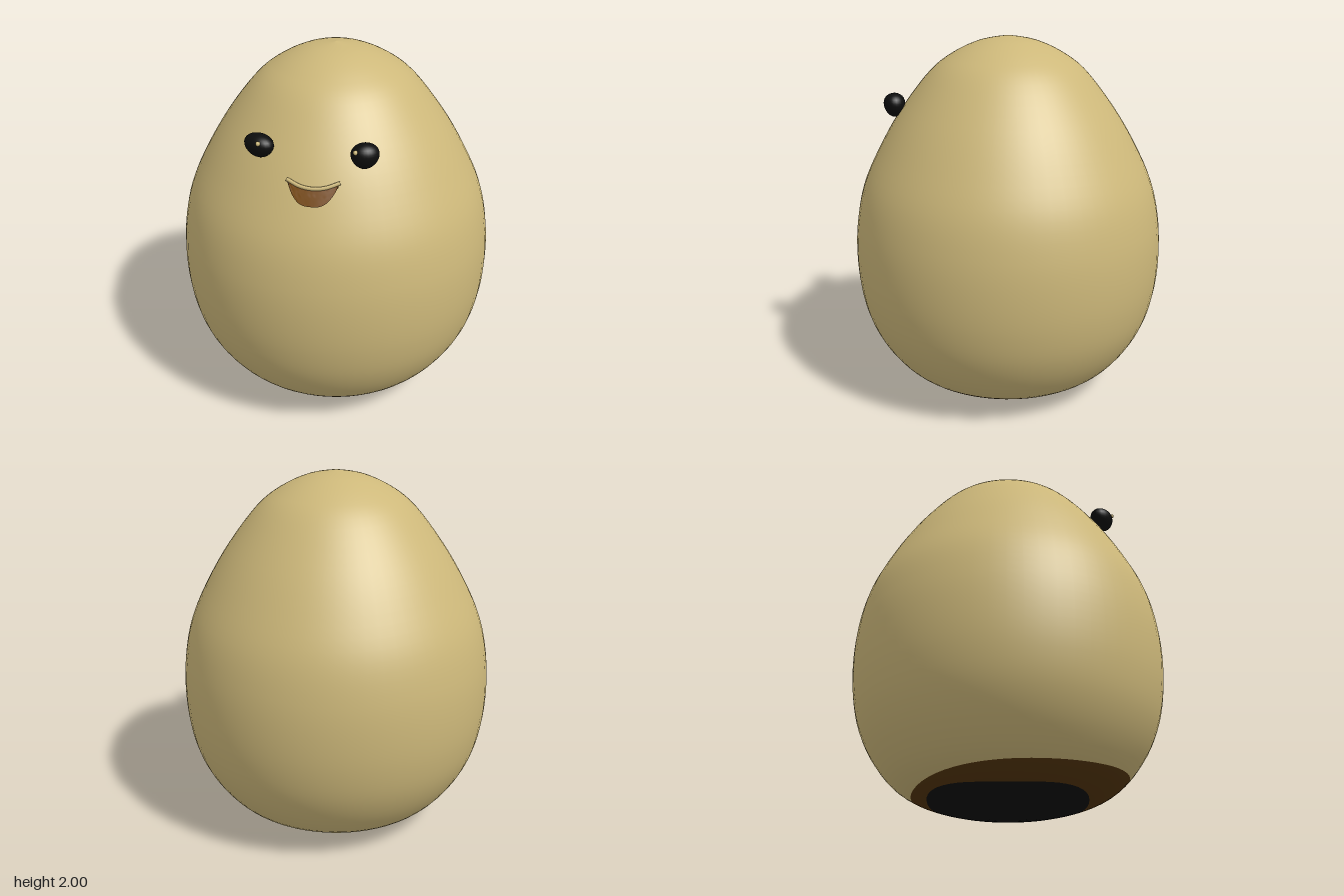
import * as THREE from 'three';
import { ParametricGeometry } from 'three/addons/geometries/ParametricGeometry.js';

const colour = (name, hex) => {
  const m = new THREE.MeshStandardMaterial({ color: hex });
  m.name = name;
  return m;
};

// Egg outline as (radius, height), bottom to top
const profile = new THREE.SplineCurve([
  [0.003, 0], [0.2, 0.008], [0.44, 0.055], [0.6, 0.13], [0.72, 0.26], [0.805, 0.42],
  [0.85, 0.6], [0.864, 0.8], [0.85, 1.0], [0.803, 1.2], [0.71, 1.4], [0.59, 1.6],
  [0.435, 1.8], [0.31, 1.9], [0.16, 1.97], [0.003, 2]
].map(([r, y]) => new THREE.Vector2(r, y)));

// Curve parameter at a given height
function paramAt(y) {
  let lo = 0, hi = 1;
  for (let i = 0; i < 24; i++) {
    const mid = (lo + hi) / 2;
    if (profile.getPoint(mid).y < y) lo = mid; else hi = mid;
  }
  return lo;
}

const radiusAt = (y) => profile.getPoint(paramAt(y)).x;

// Height of the wavy edge of the brown underside, higher at the front
const brownEdge = (a) =>
  0.128 + 0.04 * Math.cos(a) + 0.012 * Math.sin(a) + 0.006 * Math.cos(3 * a - 0.5);
const blackEdge = (a) => 0.056 + 0.005 * Math.cos(4 * a + Math.PI);

// Ring of the egg between two edges
function band(low, high, stacks) {
  const slices = 64;
  const lows = [], highs = [];
  const edge = (cache, fn, a) => {
    const key = a.toFixed(6);
    return cache[key] ?? (cache[key] = fn(a));
  };
  return new ParametricGeometry((u, v, target) => {
    const a = u * Math.PI * 2;
    const t = THREE.MathUtils.lerp(edge(lows, low, a), edge(highs, high, a), v);
    const p = profile.getPoint(t);
    target.set(p.x * Math.sin(a), p.y, p.x * Math.cos(a));
  }, slices, stacks);
}

export function createModel() {
  const group = new THREE.Group();
  group.name = 'eggCharacter';

  const tan = colour('tan', 0xcdb87a);
  const brown = colour('darkBrown', 0x53350c);
  const mouthBrown = colour('mouthBrown', 0x784a12);
  const black = colour('black', 0x0d0d0d);
  mouthBrown.side = THREE.DoubleSide;

  const add = (name, geometry, material) => {
    const mesh = new THREE.Mesh(geometry, material);
    mesh.name = name;
    group.add(mesh);
    return mesh;
  };

  // Body and the two coloured rings of the underside
  const brownTop = (a) => paramAt(brownEdge(a));
  const blackTop = (a) => paramAt(blackEdge(a));
  add('body', band(brownTop, () => 1, 48), tan);
  add('undersideRing', band(blackTop, brownTop, 6), brown);
  add('base', band(() => 0, blackTop, 8), black);

  // Point on the front of the egg, lifted by a small amount
  const onFront = (x, y, lift, target = new THREE.Vector3()) => {
    const r = radiusAt(y) + lift;
    return target.set(x, y, Math.sqrt(r * r - x * x));
  };

  // Open smiling mouth, curved to the body
  const smileTop = (s) => 1.475 + 0.025 * s * s;
  const smileBottom = (s) => 1.402 + 0.09 * Math.pow(Math.abs(s), 3);
  add('mouth', new ParametricGeometry((u, v, target) => {
    const s = u * 2 - 1;
    onFront(s * 0.125, THREE.MathUtils.lerp(smileBottom(s), smileTop(s), v), 0.007, target);
  }, 20, 6), mouthBrown);

  // Upper lip
  const lipPoints = [-1.05, -0.5, 0, 0.5, 1.05].map((s) => onFront(s * 0.125, smileTop(s) + 0.004, 0.006));
  add('upperLip', new THREE.TubeGeometry(new THREE.CatmullRomCurve3(lipPoints), 20, 0.01, 8), tan);

  // Eyes, wider at the top, each with a tiny glint
  const eyes = [
    ['rightEye', -0.29, 0.54, 0.082, 0.06, -0.28, 0.6],
    ['leftEye', 0.24, 0.575, 0.07, 0.065, 0.2, 0.622]
  ];
  for (const [name, x, z, width, height, glintX, glintZ] of eyes) {
    const g = new THREE.SphereGeometry(1, 24, 16);
    const p = g.attributes.position;
    for (let i = 0; i < p.count; i++) {
      const k = 1 + 0.15 * p.getY(i);
      p.setXYZ(i, p.getX(i) * k * width, p.getY(i) * height, p.getZ(i) * k * 0.058);
    }
    g.computeVertexNormals();
    const eye = add(name, g, black);
    eye.position.set(x, 1.628, z);
    eye.rotation.y = Math.atan2(x, z);

    const glint = add(name + 'Glint', new THREE.SphereGeometry(0.012, 10, 8), tan);
    glint.position.set(glintX, 1.662, glintZ);
  }

  return group;
}
